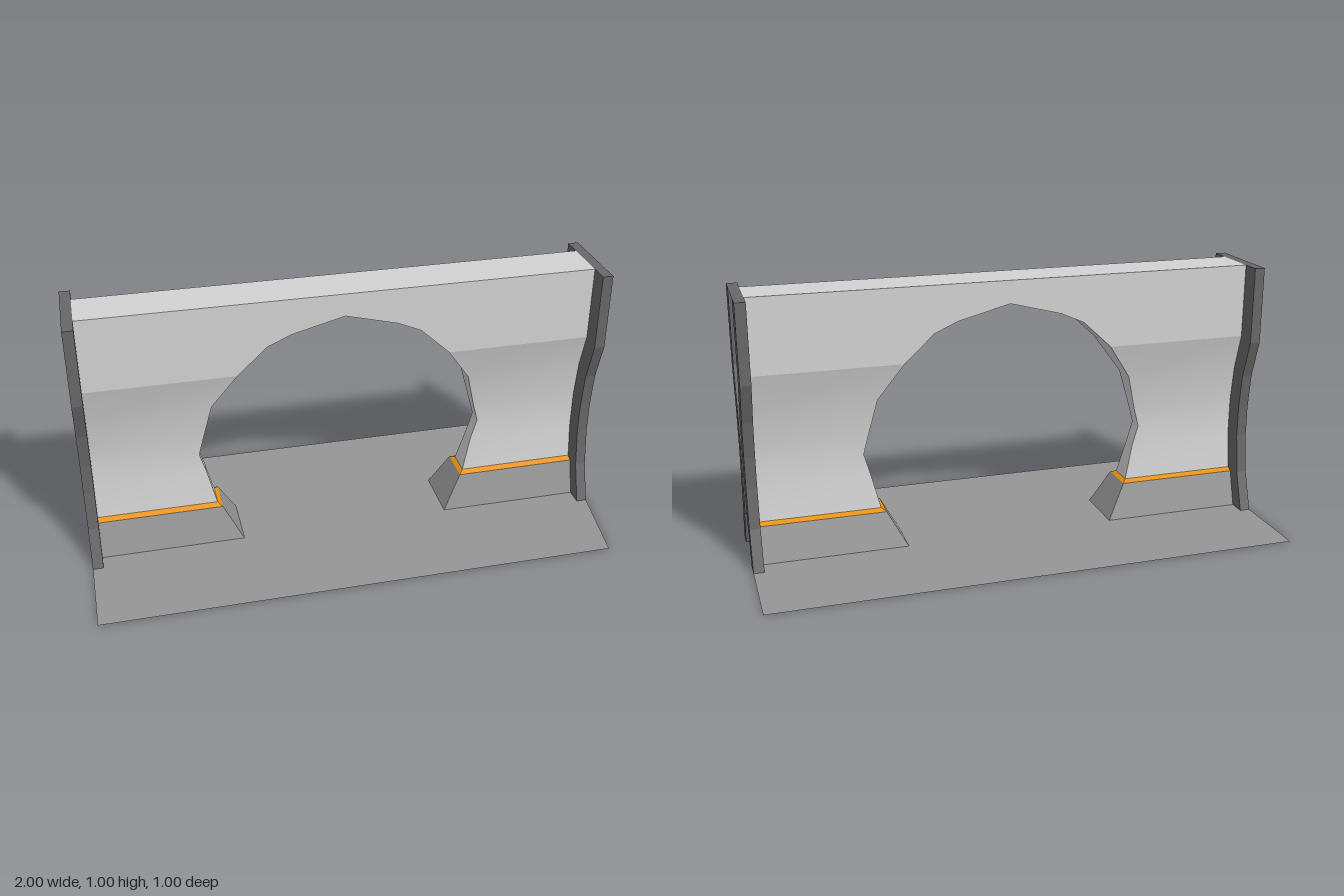
import * as THREE from 'three';

const mat = (name, color) => {
  const m = new THREE.MeshStandardMaterial({ color, side: THREE.DoubleSide });
  m.name = name;
  return m;
};

// Surface from rows of points (rows run downward, columns left to right)
function grid(rows, smooth) {
  const n = rows[0].length, index = [];
  for (let i = 0; i < rows.length - 1; i++) {
    for (let j = 0; j < n - 1; j++) {
      const a = i * n + j, b = a + 1, c = a + n, d = c + 1;
      index.push(a, c, b, b, c, d);
    }
  }
  let g = new THREE.BufferGeometry();
  g.setAttribute('position', new THREE.Float32BufferAttribute(rows.flat(2), 3));
  g.setIndex(index);
  if (!smooth) g = g.toNonIndexed();
  g.computeVertexNormals();
  return g;
}

const shapeOf = (pts) => new THREE.Shape(pts.map(([x, y]) => new THREE.Vector2(x, y)));

export function createModel() {
  const model = new THREE.Group();
  const wallMat = mat('lightGrey', 0xd2d2d2);
  const baseMat = mat('midGrey', 0x959595);
  const frameMat = mat('darkGrey', 0x676767);
  const trimMat = mat('orange', 0xe8920c);

  const add = (name, geo, material, parent = model) => {
    const m = new THREE.Mesh(geo, material);
    m.name = name;
    parent.add(m);
    return m;
  };

  const END = 0.96;
  // Half opening, height and half thickness of the wall, from the springing up
  const jamb = [
    [0.5, 0.145, 0.048], [0.533, 0.28, 0.03], [0.556, 0.36, 0.03],
    [0.537, 0.43, 0.03], [0.5, 0.575, 0.049], [0.403, 0.715, 0.09],
  ];
  const crown = [[0.29, 0.82, 0.09], [0.2, 0.86, 0.09], [0, 0.912, 0.09]];
  const half = [...jamb, ...crown];
  const mirrored = half.slice(0, -1).reverse().map(([x, y, z]) => [-x, y, z]);

  // Arch lining
  const archLine = [...half.map(([x, y, z]) => [-x, y, z]), ...mirrored.map(([x, y, z]) => [-x, y, z])];
  add('archLining', grid(archLine.map(([x, y, z]) => [[x, y, -z], [x, y, z]]), true), wallMat);

  // Top of the wall
  const top = new THREE.PlaneGeometry(2 * END, 0.18).rotateX(-Math.PI / 2);
  add('wallTop', top, wallMat).position.y = 1;

  // Upper face: flat, with the crown of the arch cut from its lower edge
  const crownEdge = [...half.slice(5), ...mirrored.slice(0, 3)];
  const upper = new THREE.ShapeGeometry(shapeOf([
    [END, 1], [-END, 1], [-END, 0.715],
    ...crownEdge.map(([x, y]) => [-x, y]), [END, 0.715],
  ]));
  upper.translate(0, 0, 0.09);

  // Lower faces: curved pinch beside the opening
  const down = [...jamb].reverse();
  const lowerLeft = grid(down.map(([x, y, z]) => [[x, y, z], [END, y, z]]), true);
  const lowerRight = grid(down.map(([x, y, z]) => [[-END, y, z], [-x, y, z]]), true);

  // Three-sided skirt ring, open at the outer end
  const ring = (x, y, z) => [[END, y, -z], [x, y, -z], [x, y, z], [END, y, z]];
  const trim = grid([ring(0.5, 0.145, 0.048), ring(0.483, 0.135, 0.07)], false);
  const plinth = grid([ring(0.483, 0.135, 0.07), ring(0.41, 0, 0.11)], false);

  // Curved post of the end frame
  const post = new THREE.ExtrudeGeometry(shapeOf([
    [0.09, 1], [0.09, 0.715], [0.049, 0.575], [0.03, 0.43], [0.03, 0.28],
    [0.048, 0.145], [0.07, 0.135], [0.11, 0],
    [0.175, 0], [0.125, 0.15], [0.105, 0.3], [0.105, 0.42], [0.12, 0.555],
    [0.165, 0.705], [0.165, 1],
  ]), { depth: 0.04, bevelEnabled: false });
  post.rotateY(Math.PI / 2).translate(END, 0, 0);
  const postBack = post.clone().rotateY(Math.PI).translate(2 * END + 0.04, 0, 0);
  const cover = new THREE.PlaneGeometry(0.04, 0.18).rotateX(-Math.PI / 2);
  cover.translate(0.98, 1, 0);

  // Each half turn gives one face of the wall and one end
  for (const turn of [0, Math.PI]) {
    const side = new THREE.Group();
    side.name = turn ? 'backAndRightEnd' : 'frontAndLeftEnd';
    side.rotation.y = turn;
    model.add(side);
    add('upperFace', upper, wallMat, side);
    add('lowerFaceLeft', lowerLeft, wallMat, side);
    add('lowerFaceRight', lowerRight, wallMat, side);
    add('trimStrip', trim, trimMat, side);
    add('plinth', plinth, baseMat, side);
    add('framePost', post, frameMat, side);
    add('framePost', postBack, frameMat, side);
    add('frameCover', cover, frameMat, side);
  }

  // Ground sheet, notched around the plinths and frame feet, one corner clipped
  const notch = [[1, 0.175], [END, 0.175], [END, 0.11], [0.41, 0.11]];
  const flip = (sx, sy) => notch.map(([x, y]) => [sx * x, sy * y]);
  const ground = new THREE.ShapeGeometry(shapeOf([
    [-1, -0.5], [0.955, -0.5],
    ...flip(1, -1), ...flip(1, 1).reverse(),
    [1, 0.5], [-1, 0.5],
    ...flip(-1, 1), ...flip(-1, -1).reverse(),
  ]));
  add('ground', ground.rotateX(-Math.PI / 2), baseMat);

  return model;
}
